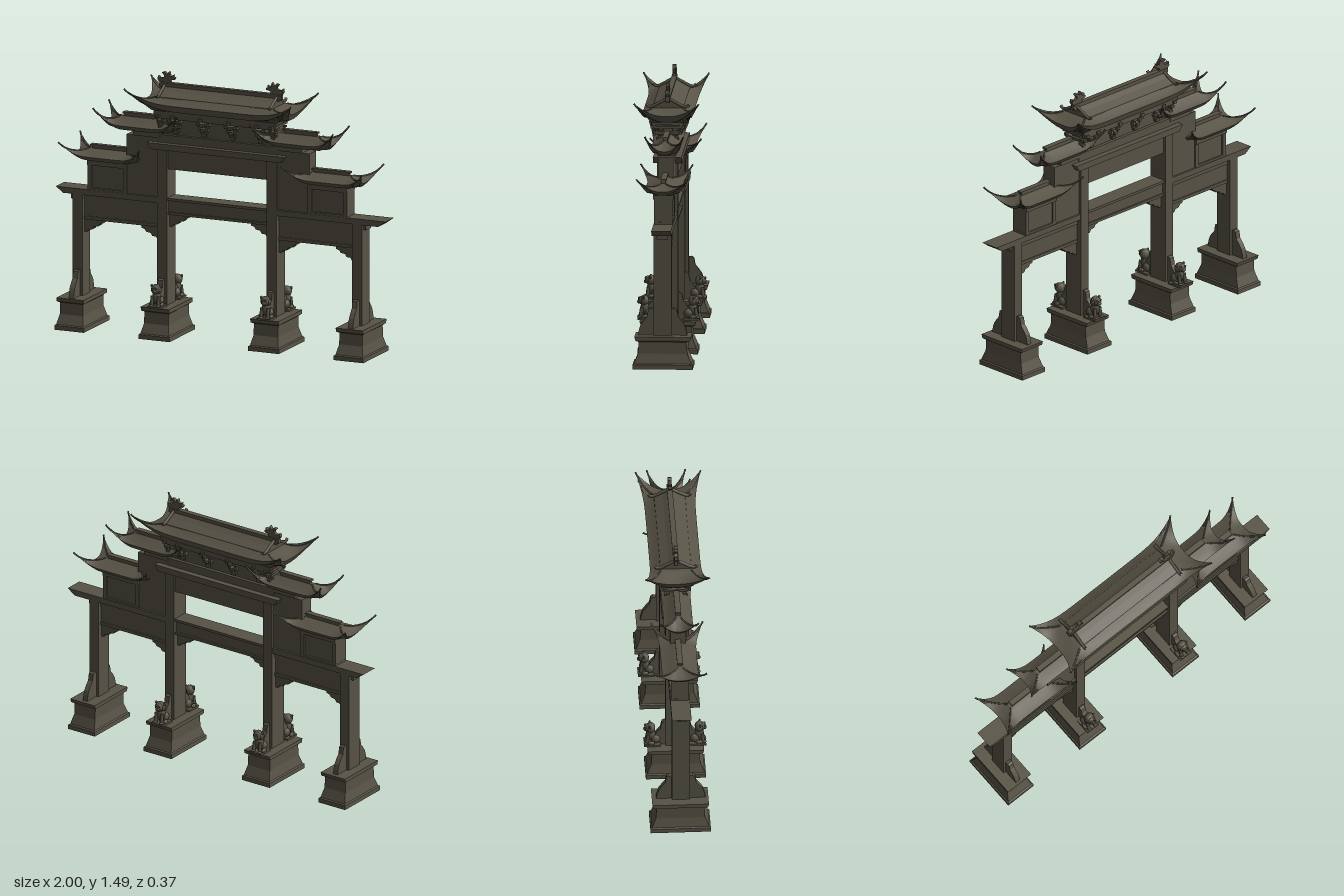
import * as THREE from 'three';
import { toCreasedNormals } from 'three/addons/utils/BufferGeometryUtils.js';

const stone = new THREE.MeshStandardMaterial({ color: 0x585346 });
stone.name = 'dark stone';

function add(parent, name, geo, x = 0, y = 0, z = 0) {
  const m = new THREE.Mesh(geo, stone);
  m.name = name;
  m.position.set(x, y, z);
  parent.add(m);
  return m;
}

// Box given by its centre x, bottom, top and half sizes
const block = (p, name, x, y0, y1, hx, hz, z = 0) =>
  add(p, name, new THREE.BoxGeometry(hx * 2, y1 - y0, hz * 2), x, (y0 + y1) / 2, z);

// Outline in x,y extruded symmetrically in z
function plate(p, name, pts, depth) {
  const geo = new THREE.ExtrudeGeometry(new THREE.Shape(pts.map(q => new THREE.Vector2(...q))), { depth, bevelEnabled: false });
  geo.translate(0, 0, -depth / 2);
  return add(p, name, geo);
}

// Outline in z,y extruded symmetrically in x
function sidePlate(p, name, pts, width, x = 0) {
  const m = plate(p, name, pts, width);
  m.rotation.y = -Math.PI / 2;
  m.position.x = x;
  return m;
}

// Four-sided loft of rows [halfX, halfZ, y, curl]; corners sweep to the tip [x, y, z]
function loft(rows, tip = [0, 0, 0], power = [8, 3], n = 1) {
  const pos = [];
  const point = (k, s, [hx, hz, y, w = 0]) => {
    const front = k % 2 === 0;
    const f = w * Math.pow(Math.abs(s), power[k % 2]);
    const [la, lo] = front ? [hx, hz] : [hz, hx];
    const [ta, to] = front ? [tip[0], tip[2]] : [tip[2], tip[0]];
    const a = s * la + Math.sign(s) * f * (ta - la), o = lo + f * (to - lo);
    const yy = y + f * (tip[1] - y);
    return [[a, yy, o], [o, yy, -a], [-a, yy, -o], [-o, yy, a]][k];
  };
  // Samples crowd toward the corners
  const S = i => Math.sin((i / n - 0.5) * Math.PI);
  for (let k = 0; k < 4; k++)
    for (let j = 0; j < rows.length - 1; j++)
      for (let i = 0; i < n; i++) {
        const a = point(k, S(i), rows[j]), b = point(k, S(i + 1), rows[j]);
        const c = point(k, S(i + 1), rows[j + 1]), d = point(k, S(i), rows[j + 1]);
        pos.push(...a, ...b, ...c, ...a, ...c, ...d);
      }
  const geo = new THREE.BufferGeometry();
  geo.setAttribute('position', new THREE.Float32BufferAttribute(pos, 3));
  geo.computeVertexNormals();
  return n > 1 ? toCreasedNormals(geo, 0.5) : geo;
}

// Curved roof with upswept corners and hip ridges
function roof(p, name, cx, o) {
  const g = new THREE.Group();
  g.name = name;
  g.position.x = cx;
  p.add(g);
  const rows = [[0, 0, o.under], [o.hx - 0.07, o.hz - 0.05, o.under, 0], [o.hx - 0.02, o.hz - 0.015, o.under + 0.008, 1], [o.hx, o.hz, o.eave, 1]];
  const hip = [];
  for (let j = 0; j <= 6; j++) {
    const t = j / 6, w = Math.pow(1 - t, 2.5);
    const row = [o.hx + (o.rx - o.hx) * t, o.hz + (o.rz - o.hz) * t, o.eave + (o.top - o.eave) * Math.pow(t, 1.2), w];
    if (j) rows.push(row);
    hip.push(new THREE.Vector3(...[0, 2, 1].map((q, i) => row[q] + w * (o.tip[i] - row[q]))));
  }
  rows.push([0, 0, o.top]);
  add(g, 'roofSurface', loft(rows, o.tip, [8, 3], 24));
  for (const sx of [-1, 1]) for (const sz of [-1, 1]) {
    const path = new THREE.CatmullRomCurve3(hip.map(v => new THREE.Vector3(v.x * sx, v.y, v.z * sz)));
    add(g, 'hipRidge', new THREE.TubeGeometry(path, 14, 0.005, 5));
  }
  return g;
}

// Seated guardian lion facing +z
function lion() {
  const g = new THREE.Group();
  g.name = 'guardianLion';
  const ball = (name, x, y, z, a, b, c) => add(g, name, new THREE.SphereGeometry(1, 10, 8), x, y, z).scale.set(a, b, c);
  block(g, 'lionPlinth', 0, 0, 0.01, 0.04, 0.045);
  ball('haunches', 0, 0.035, -0.018, 0.034, 0.03, 0.03);
  ball('chest', 0, 0.06, 0.006, 0.026, 0.04, 0.026).rotation;
  ball('mane', 0, 0.103, 0.008, 0.033, 0.03, 0.026);
  ball('head', 0, 0.104, 0.024, 0.024, 0.024, 0.02);
  ball('muzzle', 0, 0.096, 0.038, 0.015, 0.011, 0.011);
  ball('tail', 0, 0.06, -0.038, 0.012, 0.03, 0.01);
  for (const s of [-1, 1]) {
    const leg = add(g, 'frontLeg', new THREE.CylinderGeometry(0.009, 0.011, 0.06, 8), s * 0.02, 0.038, 0.026);
    leg.rotation.x = -0.12;
    ball('frontPaw', s * 0.021, 0.014, 0.034, 0.012, 0.008, 0.014);
    ball('hindPaw', s * 0.032, 0.018, 0.006, 0.01, 0.012, 0.02);
    ball('ear', s * 0.027, 0.122, 0.012, 0.008, 0.01, 0.006);
    ball('brow', s * 0.011, 0.116, 0.038, 0.008, 0.006, 0.006);
  }
  return g;
}

export function createModel() {
  const model = new THREE.Group();
  model.name = 'memorialGateway';
  const gate = new THREE.Group();
  gate.name = 'gateway';
  gate.position.set(-0.022, 0, -0.003);
  model.add(gate);

  // Main roof: hipped skirt, gable, ridge and end ornaments
  roof(gate, 'mainRoof', 0, { under: 1.285, eave: 1.33, top: 1.36, hx: 0.45, hz: 0.14, rx: 0.36, rz: 0.085, tip: [0.508, 1.412, 0.18] });
  sidePlate(gate, 'gable', [[-0.09, 1.35], [0.09, 1.35], [0.085, 1.362], [0.04, 1.385], [0, 1.412], [-0.04, 1.385], [-0.085, 1.362]], 0.69);
  block(gate, 'mainRidge', 0, 1.39, 1.428, 0.36, 0.011);
  block(gate, 'ridgeCap', 0, 1.418, 1.428, 0.365, 0.015);

  // Hollow beneath the pedestals
  const pedestal = h => loft([[0, 0, 0.1], [h - 0.045, 0.1, 0.1], [h - 0.03, 0.125, 0], [h, 0.166, 0], [h, 0.166, 0.025],
    [h - 0.008, 0.158, 0.03], [h - 0.02, 0.136, 0.085], [h - 0.02, 0.132, 0.15], [h - 0.008, 0.15, 0.158], [h - 0.008, 0.156, 0.18], [0, 0, 0.18]]);

  for (const s of [-1, 1]) {
    // Verge ridges and curled ornaments at the gable ends
    for (const f of [-1, 1]) {
      const path = new THREE.CatmullRomCurve3([[0, 1.415], [0.04, 1.393], [0.09, 1.368], [0.108, 1.368], [0.118, 1.38]].map(([z, y]) => new THREE.Vector3(s * 0.34, y, f * z)));
      add(gate, 'vergeRidge', new THREE.TubeGeometry(path, 12, 0.009, 6));
    }
    plate(gate, 'ridgeOrnament', [[0.3, 1.425], [0.305, 1.442], [0.278, 1.448], [0.276, 1.458], [0.288, 1.462], [0.284, 1.474], [0.304, 1.464],
      [0.312, 1.492], [0.324, 1.472], [0.34, 1.488], [0.356, 1.482], [0.344, 1.472], [0.34, 1.46], [0.352, 1.452],
      [0.368, 1.452], [0.378, 1.462], [0.382, 1.442], [0.37, 1.425], [0.372, 1.4], [0.335, 1.4]].map(([x, y]) => [x * s, y]), 0.02);

    // Stepped side roofs with their ridges
    roof(gate, 'middleRoof', s * 0.475, { under: 1.14, eave: 1.172, top: 1.215, hx: 0.205, hz: 0.08, rx: 0.13, rz: 0.014, tip: [0.255, 1.265, 0.107] });
    block(gate, 'middleRidge', s * 0.485, 1.205, 1.238, 0.098, 0.012);
    block(gate, 'middleRidgeCap', s * 0.485, 1.228, 1.238, 0.105, 0.016);
    roof(gate, 'outerRoof', s * 0.675, { under: 0.95, eave: 0.98, top: 1.012, hx: 0.2, hz: 0.1, rx: 0.12, rz: 0.014, tip: [0.247, 1.06, 0.144] });
    block(gate, 'outerRidge', s * 0.672, 1.0, 1.035, 0.107, 0.012);
    block(gate, 'outerRidgeCap', s * 0.672, 1.025, 1.035, 0.115, 0.016);

    // Walls below the side roofs
    block(gate, 'middleWall', s * 0.455, 0.785, 1.12, 0.1, 0.042);
    block(gate, 'middleWallCap', s * 0.43, 1.12, 1.15, 0.08, 0.05);
    block(gate, 'outerWall', s * 0.667, 0.785, 0.955, 0.105, 0.04);
    block(gate, 'outerWallTop', s * 0.667, 0.925, 0.955, 0.12, 0.056);
    block(gate, 'outerWallSill', s * 0.667, 0.785, 0.797, 0.12, 0.05);
    for (const e of [-1, 1]) block(gate, 'outerWallPilaster', s * (0.667 + e * 0.107), 0.785, 0.93, 0.012, 0.05);

    // Side bay beams: long capping slab, ledge and panel
    const end = s < 0 ? 0.978 : 1.022;
    plate(gate, 'cappingSlab', [[s * 0.36, 0.785], [s * end, 0.785], [s * (end - 0.045), 0.752], [s * 0.36, 0.752]], 0.108);
    block(gate, 'sideLedge', s * 0.61, 0.72, 0.752, 0.285, 0.032);
    block(gate, 'sidePanel', s * 0.59, 0.615, 0.725, 0.24, 0.026);
    block(gate, 'sidePanelFoot', s * 0.59, 0.61, 0.628, 0.235, 0.033);

    // Stepped brackets under the beams
    const bracket = (x, y, d) => plate(gate, 'cornerBracket', [[0, 0], [0.11, 0], [0.11, -0.018], [0.09, -0.024], [0.082, -0.038],
      [0.055, -0.042], [0.045, -0.058], [0.022, -0.06], [0.015, -0.074], [0, -0.074]].map(([u, v]) => [x + u * d, y + v]), 0.045);
    bracket(s * 0.817, 0.612, -s);
    bracket(s * 0.362, 0.612, s);
    bracket(s * 0.302, 0.692, -s);

    // Columns and pedestals
    block(gate, 'outerColumn', s * 0.847, 0.17, 0.755, 0.03, 0.05);
    block(gate, 'innerColumn', s * 0.332, 0.17, 1.07, 0.03, 0.058);
    add(gate, 'outerPedestal', pedestal(0.09), s * 0.847, 0, -0.004);
    add(gate, 'innerPedestal', pedestal(0.094), s * 0.332, 0, -0.004);

    // Scrolled buttress stones and lions, front and back
    for (const f of [-1, 1]) {
      for (const [x, w] of [[0.847, 0.03], [0.332, 0.03]])
        sidePlate(gate, 'buttressStone', [[0.045, 0.18], [0.136, 0.18], [0.13, 0.21], [0.122, 0.235], [0.105, 0.26], [0.086, 0.282],
          [0.082, 0.305], [0.078, 0.322], [0.066, 0.33], [0.045, 0.326]].map(([z, y]) => [z * f, y]), w, s * x);
      const l = lion();
      l.position.set(s * 0.332, 0.18, f * 0.126 - 0.005);
      l.rotation.y = f > 0 ? 0 : Math.PI;
      gate.add(l);
    }
  }

  // Central bay beams
  block(gate, 'centralBeam', 0, 0.702, 0.772, 0.305, 0.035);
  block(gate, 'centralBeamCap', 0, 0.77, 0.785, 0.305, 0.05);
  block(gate, 'centralBeamFoot', 0, 0.69, 0.705, 0.305, 0.045);
  block(gate, 'lintel', 0, 0.948, 1.065, 0.305, 0.045);
  plate(gate, 'lintelSlab', [[-0.417, 1.095], [0.417, 1.095], [0.395, 1.06], [-0.395, 1.06]], 0.158);
  block(gate, 'lintelBand', 0, 1.095, 1.14, 0.365, 0.045);

  // Wall and boards carrying the main roof
  block(gate, 'upperWall', 0, 1.14, 1.29, 0.345, 0.026);
  block(gate, 'eaveBoard', 0, 1.268, 1.292, 0.37, 0.088);
  for (const f of [-1, 1]) block(gate, 'eaveBeam', 0, 1.242, 1.268, 0.355, 0.01, f * 0.075);

  // Bracket clusters widening upward
  for (const x of [-0.342, -0.257, -0.086, 0.086, 0.257, 0.342]) {
    const k = Math.abs(x) > 0.3 ? 0.5 : 1;
    for (let i = 0; i < 4; i++) {
      const y = 1.14 + i * 0.032;
      block(gate, 'bracketArmAcross', x, y + 0.01, y + 0.026, 0.011, 0.045 + i * 0.017);
      block(gate, 'bracketArmAlong', x, y + 0.012, y + 0.026, (0.016 + i * 0.011) * k, 0.034 + i * 0.015);
      for (const e of [-1, 1]) for (const f of [-1, 1])
        block(gate, 'bracketCup', x + e * (0.012 + i * 0.011) * k, y + 0.026, y + 0.036, 0.008, 0.008, f * (0.03 + i * 0.015));
    }
  }
  return model;
}
